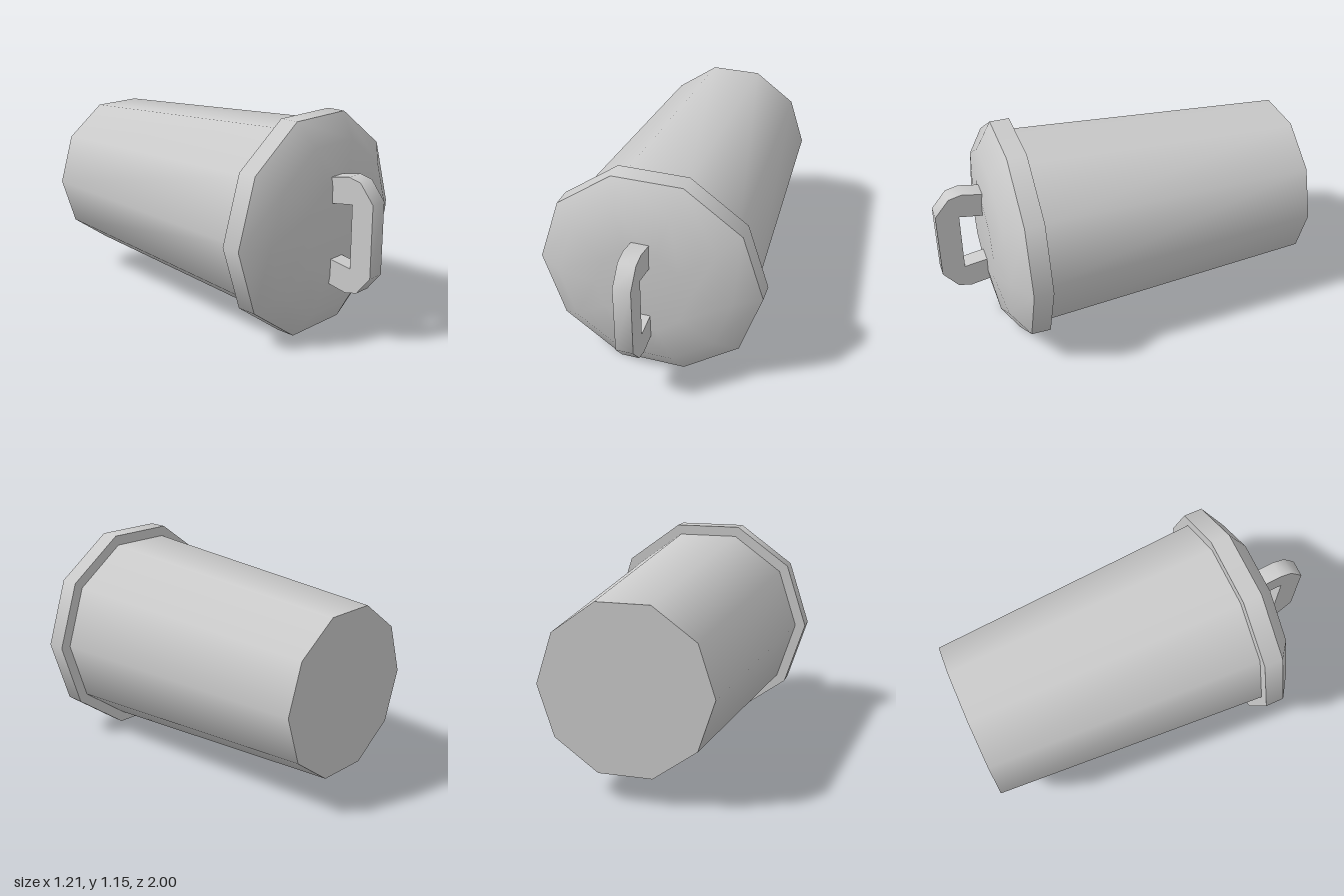
import * as THREE from 'three';
import { toCreasedNormals } from 'three/addons/utils/BufferGeometryUtils.js';

const SIDES = 10;
const AXIS_Y = 0.575;

export function createModel() {
  const model = new THREE.Group();
  const material = new THREE.MeshStandardMaterial({ color: 0xcccccc });

  const add = (name, geometry, parent) => {
    const mesh = new THREE.Mesh(geometry, material);
    mesh.name = name;
    parent.add(mesh);
    return mesh;
  };

  // Ten-sided surface turned around the z axis; profile points are [radius, z]
  const turned = (name, profile, parent) => {
    const points = profile.map(([r, z]) => new THREE.Vector2(r, z));
    const geometry = new THREE.LatheGeometry(points, SIDES, Math.PI / 2);
    geometry.rotateX(Math.PI / 2).translate(0, AXIS_Y, 0);
    return add(name, geometry, parent);
  };

  // Tapered can lying on its side, base at the back
  const can = new THREE.Group();
  can.name = 'can';
  turned('canBase', [[0, -1], [0.447, -1]], can);
  turned('canWall', [[0.447, -1], [0.547, 0.52]], can);

  // Lid: flat underside, straight rim and shallow dome, with hard edges between
  const lid = new THREE.Group();
  lid.name = 'lid';
  turned('lidUnderside', [[0, 0.52], [0.605, 0.52]], lid);
  turned('lidRim', [[0.605, 0.52], [0.605, 0.625]], lid);
  turned('lidDome', [[0.605, 0.625], [0.47, 0.715], [0.25, 0.75], [0, 0.75]], lid);

  // Handle: upper half of the bracket as [z, height above the axis], mirrored below
  const outer = [[0.72, 0.284], [0.85, 0.308], [0.92, 0.292], [1, 0.193]];
  const inner = [[0.875, 0.17], [0.72, 0.146]];
  const flip = (list) => list.map(([z, h]) => [z, -h]).reverse();
  const outline = [...outer, ...flip(outer), ...flip(inner), ...inner];
  const shape = new THREE.Shape(outline.map(([z, h]) => new THREE.Vector2(z, AXIS_Y + h)));
  const width = 0.094;
  const bracket = new THREE.ExtrudeGeometry(shape, { depth: width, bevelEnabled: false });
  bracket.translate(0, 0, -width / 2).rotateY(-Math.PI / 2);
  add('lidHandle', toCreasedNormals(bracket, Math.PI / 3), lid);

  model.add(can, lid);
  return model;
}
